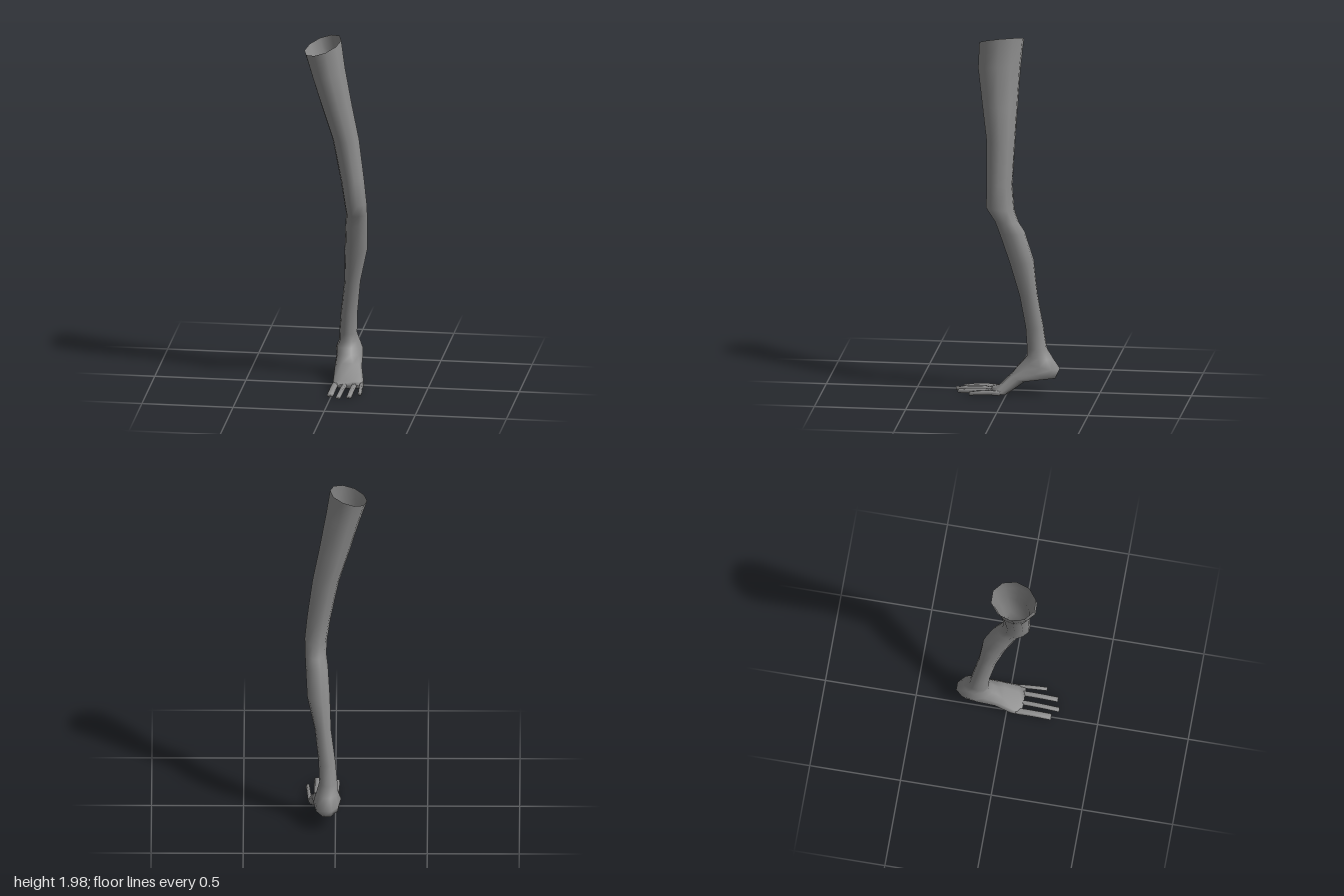
import * as THREE from 'three';

// Each ring: [front z, front y, back z, back y, min x, max x, sideways tilt]
const LEG = [
  [0.167, 1.935, -0.07, 1.965, -0.172, 0.03, 0.033],
  [0.17, 1.8, -0.057, 1.82, -0.132, 0.052, 0.02],
  [0.14, 1.6, -0.047, 1.6, -0.073, 0.09, 0.01],
  [0.112, 1.42, -0.04, 1.42, -0.02, 0.126, 0],
  [0.108, 1.2, -0.03, 1.18, 0.025, 0.155, 0],
  [0.108, 1.06, -0.042, 1.05, 0.045, 0.168, 0],
  [0.06, 0.985, -0.065, 0.98, 0.05, 0.166, 0],
  [0.036, 0.92, -0.1, 0.92, 0.041, 0.163, 0],
  [-0.02, 0.75, -0.148, 0.76, 0.03, 0.154, 0],
  [-0.07, 0.56, -0.165, 0.57, 0.024, 0.112, 0],
  [-0.1, 0.38, -0.195, 0.38, 0, 0.092, 0],
  [-0.107, 0.26, -0.212, 0.26, -0.01, 0.088, 0],
];
const FOOT = [
  LEG[LEG.length - 1],
  [-0.107, 0.22, -0.245, 0.205, -0.013, 0.102, 0],
  [-0.085, 0.19, -0.283, 0.145, -0.031, 0.116, 0],
  [-0.055, 0.16, -0.263, 0.1, -0.026, 0.12, 0],
  [-0.025, 0.12, -0.097, 0.08, -0.02, 0.128, 0],
  [0.05, 0.045, -0.004, 0.012, -0.02, 0.15, 0],
  [0.085, 0.036, 0.07, 0.01, -0.022, 0.155, 0],
];

// Joins rings into a smooth tube; power below 1 makes the section boxier
function loft(rings, sides, power, closeEnd) {
  const pos = [], index = [];
  const bulge = (v, p) => Math.sign(v) * Math.pow(Math.abs(v), p);
  rings.forEach(([fz, fy, bz, by, x0, x1, tilt], i) => {
    const p = typeof power === 'function' ? power(i) : power;
    for (let j = 0; j < sides; j++) {
      const t = ((j + 0.5) / sides) * Math.PI * 2;
      const c = bulge(Math.cos(t) / Math.cos(Math.PI / sides), p);
      const s = bulge(Math.sin(t), p);
      pos.push(
        (x0 + x1) / 2 + (s * (x1 - x0)) / 2,
        (fy + by) / 2 + (c * (fy - by)) / 2 + s * tilt,
        (fz + bz) / 2 + (c * (fz - bz)) / 2,
      );
      if (i) {
        const a = (i - 1) * sides + j, b = (i - 1) * sides + ((j + 1) % sides);
        index.push(a, a + sides, b, b, a + sides, b + sides);
      }
    }
  });
  if (closeEnd) {
    const first = (rings.length - 1) * sides;
    for (let j = 1; j < sides - 1; j++) index.push(first, first + j + 1, first + j);
  }
  const geometry = new THREE.BufferGeometry();
  geometry.setAttribute('position', new THREE.Float32BufferAttribute(pos, 3));
  geometry.setIndex(index);
  geometry.computeVertexNormals();
  return geometry;
}

export function createModel() {
  const group = new THREE.Group();
  group.name = 'legModel';
  const skin = new THREE.MeshStandardMaterial({ color: 0x8c8c8c, side: THREE.DoubleSide });
  skin.name = 'grey skin';
  const add = (name, geometry) => {
    const mesh = new THREE.Mesh(geometry, skin);
    mesh.name = name;
    group.add(mesh);
  };

  // Leg with open top, running on into the foot without a seam
  add('legAndFoot', loft([...LEG, ...FOOT.slice(1)], 10, (i) => (i > LEG.length + 2 ? 0.75 : 1), true));

  // Four long flat toes: [root x, tip x, root z, tip z, half width]
  const toes = [
    [-0.002, -0.003, 0.05, 0.245, 0.019],
    [0.052, 0.045, 0.05, 0.282, 0.014],
    [0.104, 0.102, 0.05, 0.265, 0.015],
    [0.139, 0.152, 0.03, 0.197, 0.011],
  ];
  toes.forEach(([xa, xb, za, zb, w], n) => {
    const rings = [0, 0.35, 0.7, 1].map((t, k) => {
      const x = xa + (xb - xa) * t, z = za + (zb - za) * t;
      const top = [0.036, 0.04, 0.037, 0.03][k], low = [0.012, 0.016, 0.014, 0.013][k];
      return [z, top, z, low, x - w, x + w, 0];
    });
    add('toe' + (n + 1), loft(rings, 6, 0.7, true));
  });
  return group;
}
